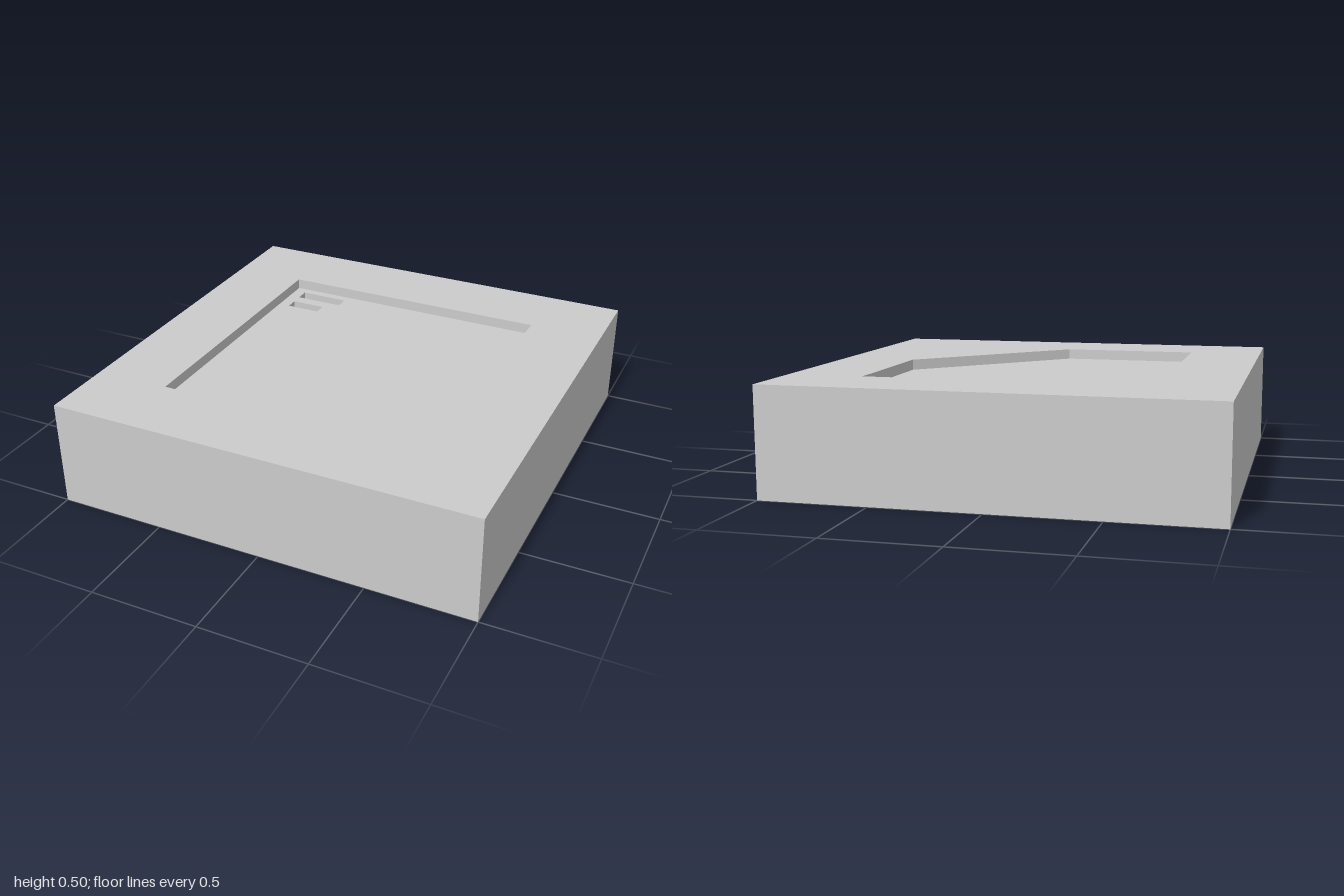
import * as THREE from 'three';
import { mergeGeometries } from 'three/addons/utils/BufferGeometryUtils.js';

const TOP = 0.5, FLOOR = 0.45, SLOT_FLOOR = 0.4;

// Outlines are counter-clockwise seen from above, as [x, -z]
const rect = (x0, x1, y0, y1) => [[x0, y0], [x1, y0], [x1, y1], [x0, y1]];
const block = rect(-1, 1, -1, 1);
const pocket = [[-0.65, -0.65], [0, -0.65], [0.65, 0], [0.65, 0.65], [-0.65, 0.65]];
const slots = [rect(-0.595, -0.36, 0.545, 0.61), rect(-0.595, -0.43, 0.43, 0.49)];

const toPoints = (outline) => outline.map(([x, y]) => new THREE.Vector2(x, y));

// Flat horizontal face with optional holes
function face(outline, y, holes = [], down = false) {
  const shape = new THREE.Shape(toPoints(outline));
  for (const h of holes) shape.holes.push(new THREE.Path(toPoints(h)));
  const g = new THREE.ShapeGeometry(shape).toNonIndexed();
  g.rotateX(down ? Math.PI / 2 : -Math.PI / 2).translate(0, y, 0);
  g.deleteAttribute('uv');
  return g;
}

// Vertical walls along an outline, facing outward or inward
function walls(outline, y0, y1, inward = false) {
  const pts = inward ? [...outline].reverse() : outline;
  const pos = [];
  pts.forEach(([ax, ay], i) => {
    const [bx, by] = pts[(i + 1) % pts.length];
    pos.push(ax, y0, -ay, bx, y0, -by, bx, y1, -by);
    pos.push(ax, y0, -ay, bx, y1, -by, ax, y1, -ay);
  });
  const g = new THREE.BufferGeometry();
  g.setAttribute('position', new THREE.Float32BufferAttribute(pos, 3));
  g.computeVertexNormals();
  return g;
}

export function createModel() {
  const group = new THREE.Group();
  const add = (name, parts, color) => {
    const mesh = new THREE.Mesh(mergeGeometries(parts), new THREE.MeshStandardMaterial({ color }));
    mesh.name = name;
    group.add(mesh);
  };

  // Square block with the recess walls
  add('block', [
    face(block, 0, [], true),
    walls(block, 0, TOP),
    face(block, TOP, [pocket]),
    walls(pocket, FLOOR, TOP, true),
    ...slots.map((s) => walls(s, SLOT_FLOOR, FLOOR, true)),
  ], 0xcccccc);

  // Lighter recess floor and the beds of the two slots
  add('recessFloor', [
    face(pocket, FLOOR, slots),
    ...slots.map((s) => face(s, SLOT_FLOOR)),
  ], 0xf0f0f0);

  return group;
}
